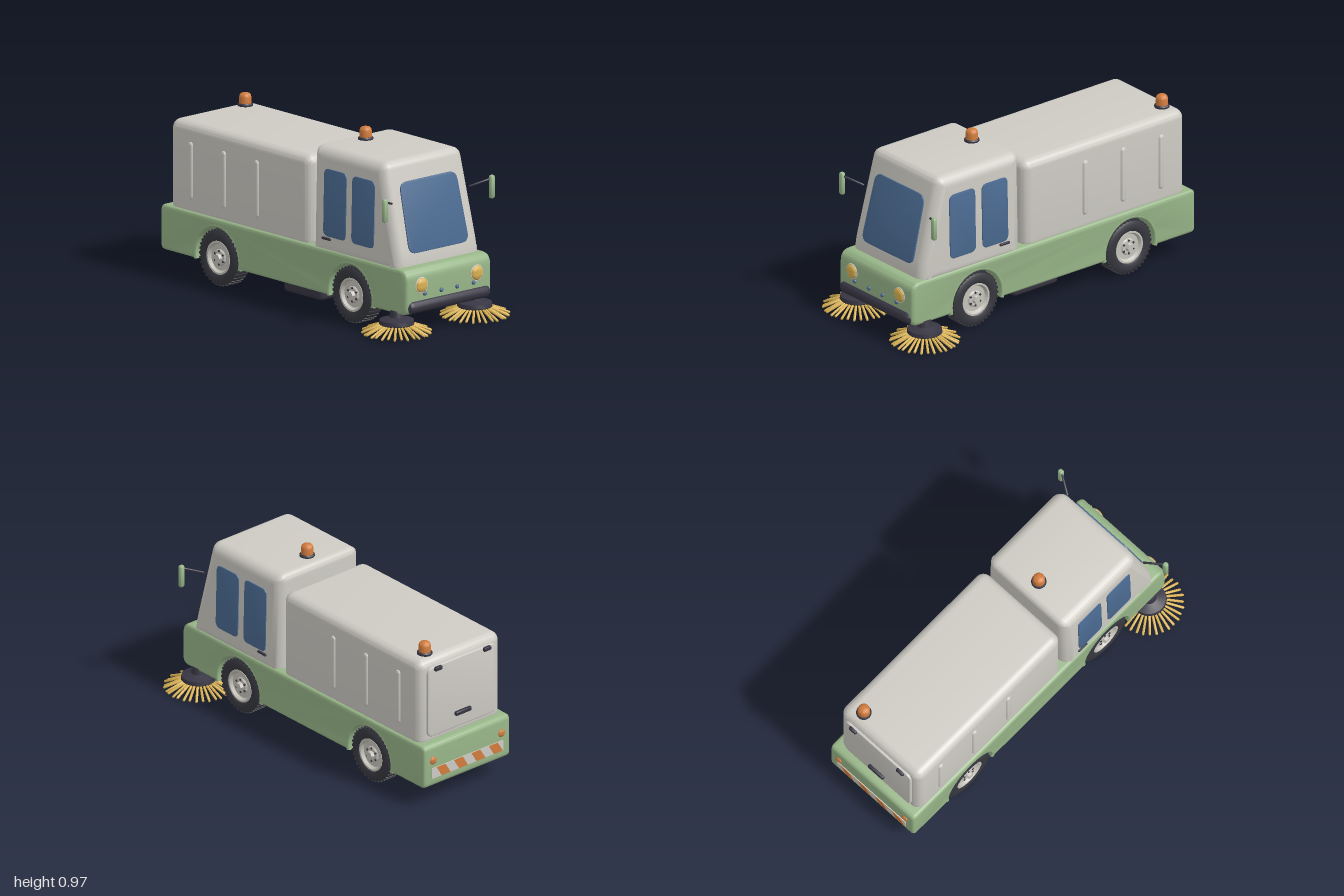
import * as THREE from 'three';
import { toCreasedNormals } from 'three/addons/utils/BufferGeometryUtils.js';
import { RoundedBoxGeometry } from 'three/addons/geometries/RoundedBoxGeometry.js';

const V = (x, y, z) => new THREE.Vector3(x, y, z);
const paint = (name, color) => {
  const m = new THREE.MeshStandardMaterial({ color });
  m.name = name;
  return m;
};

// Polygon with every corner rounded by r
function roundedPoly(pts, r) {
  const s = new THREE.Shape();
  const p = pts.map(([x, y]) => new THREE.Vector2(x, y));
  p.forEach((c, i) => {
    const prev = p[(i + p.length - 1) % p.length], next = p[(i + 1) % p.length];
    const a = c.clone().add(prev.clone().sub(c).setLength(r));
    const b = c.clone().add(next.clone().sub(c).setLength(r));
    if (i) s.lineTo(a.x, a.y); else s.moveTo(a.x, a.y);
    s.quadraticCurveTo(c.x, c.y, b.x, b.y);
  });
  s.closePath();
  return s;
}

// Extrusion centred on z = 0 whose bevel stays inside the outline
function slab(shape, depth, bevel = 0, segs = 4) {
  const g = new THREE.ExtrudeGeometry(shape, {
    depth: depth - 2 * bevel, bevelEnabled: bevel > 0, bevelSize: bevel, bevelThickness: bevel,
    bevelOffset: -bevel, bevelSegments: segs, curveSegments: 8,
  });
  return g.translate(0, 0, bevel - depth / 2);
}
// Same, for a profile drawn as (z, y) and extruded across x
const sideSlab = (...a) => slab(...a).rotateY(-Math.PI / 2);
const rect = (x0, x1, y0, y1) => [[x0, y0], [x1, y0], [x1, y1], [x0, y1]];
const lathe = (pts, n = 32) =>
  new THREE.LatheGeometry(pts.map(([x, y]) => new THREE.Vector2(x, y)), n);

function moveVerts(g, rule) {
  const p = g.attributes.position, v = V(0, 0, 0);
  for (let i = 0; i < p.count; i++) {
    rule(v.fromBufferAttribute(p, i));
    p.setXYZ(i, v.x, v.y, v.z);
  }
  return g;
}

export function createModel() {
  const green = paint('green paint', 0x98b689);
  const grey = paint('pale grey paint', 0xcecbc4);
  const dark = paint('dark plastic', 0x383643);
  const rubber = paint('tyre rubber', 0x37383f);
  const glass = paint('blue glass', 0x4b6b92);
  const yellow = paint('yellow', 0xdab253);
  const orange = paint('orange', 0xd27c3d);
  const rimPaint = paint('wheel rim', 0xc6c4bb);

  const root = new THREE.Group();
  root.name = 'streetSweeper';
  const add = (name, geo, mat, x = 0, y = 0, z = 0, parent = root, crease = 0.65) => {
    const m = new THREE.Mesh(toCreasedNormals(geo, crease), mat);
    m.name = name;
    m.position.set(x, y, z);
    parent.add(m);
    return m;
  };
  const rod = (name, a, b, r, mat, parent = root) => {
    const len = a.distanceTo(b);
    const m = add(name, new THREE.CapsuleGeometry(r, len - r, 2, 7), mat, 0, 0, 0, parent, 1.2);
    m.position.copy(a).lerp(b, 0.5);
    m.quaternion.setFromUnitVectors(V(0, 1, 0), b.clone().sub(a).normalize());
  };

  // Lower body with wheel arches
  const axles = [-0.555, 0.475], axleY = 0.148, archR = 0.165;
  const dip = Math.asin((axleY - 0.115) / archR);
  const s = new THREE.Shape();
  s.moveTo(-0.96, 0.115);
  for (const z of axles) {
    s.lineTo(z - archR * Math.cos(dip), 0.115);
    s.absarc(z, axleY, archR, Math.PI + dip, -dip, true);
  }
  s.lineTo(0.87, 0.115);
  s.quadraticCurveTo(0.915, 0.115, 0.915, 0.16);
  s.lineTo(0.915, 0.295);
  s.quadraticCurveTo(0.915, 0.358, 0.855, 0.358);
  s.lineTo(-0.96, 0.358);
  s.quadraticCurveTo(-0.99, 0.358, -0.99, 0.328);
  s.lineTo(-0.99, 0.145);
  s.quadraticCurveTo(-0.99, 0.115, -0.96, 0.115);
  add('lowerBody', sideSlab(s, 0.594, 0.018), green);

  // Cab, narrowing slightly towards the roof
  const taper = (y) => 1 - 0.08 * (y - 0.36);
  const cab = sideSlab(roundedPoly(
    [[0.17, 0.32], [0.848, 0.32], [0.838, 0.41], [0.716, 0.894], [0.17, 0.894]], 0.042), 0.584, 0.06, 6);
  // Soften the profile by keeping its roof and back corners inside the bevel
  add('cab', moveVerts(cab, (v) => { v.x *= taper(v.y); }), grey);

  // Windscreen
  const screen = slab(roundedPoly([[-0.208, -0.188], [0.208, -0.188], [0.197, 0.188], [-0.197, 0.188]], 0.05), 0.009, 0.003, 2);
  add('windscreen', screen.rotateX(-0.245), glass, 0, 0.602, 0.793);

  // Hopper with rear door
  add('hopper', new RoundedBoxGeometry(0.564, 0.505, 1.085, 5, 0.05), grey, 0, 0.5725, -0.395);
  add('rearDoor', slab(roundedPoly(rect(-0.235, 0.235, 0.38, 0.785), 0.04), 0.024, 0.008, 3), grey, 0, 0, -0.938);
  add('doorHandle', new RoundedBoxGeometry(0.11, 0.026, 0.022, 3, 0.01), dark, 0, 0.465, -0.957);

  // Underslung tank
  add('underTank', new RoundedBoxGeometry(0.4, 0.11, 0.295, 3, 0.018), dark, 0, 0.09, 0);

  // Front bumper and sensors
  const bumper = new THREE.CapsuleGeometry(0.033, 0.506, 6, 16).rotateZ(Math.PI / 2);
  add('bumper', bumper, dark, 0, 0.157, 0.904);
  for (const x of [-0.17, -0.055, 0.055, 0.17])
    add('sensor', new THREE.SphereGeometry(0.012, 12, 8), glass, x, 0.22, 0.915);

  // Warning beacons
  const beacon = (x, y, z) => {
    add('beaconBase', lathe([[0, 0], [0.04, 0], [0.04, 0.012], [0.035, 0.018], [0, 0.018]]), dark, x, y, z);
    add('beaconLens', lathe([[0.033, 0.016], [0.032, 0.05], [0.029, 0.062], [0.022, 0.069], [0, 0.073]]), orange, x, y, z);
  };
  beacon(0, 0.89, 0.27);
  beacon(0.18, 0.822, -0.86);

  // Rear hazard strip
  add('hazardStrip', slab(roundedPoly(rect(-0.245, 0.245, 0.165, 0.225), 0.004), 0.006), grey, 0, 0, -0.991);
  for (let i = 0; i < 4; i++) {
    const x = -0.24 + 0.12 * i;
    const stripe = roundedPoly([[x, 0.166], [x + 0.06, 0.166], [x + 0.095, 0.224], [x + 0.035, 0.224]], 0.001);
    add('hazardStripe', slab(stripe, 0.005), orange, 0, 0, -0.9935);
  }

  // Dark wheel wells between the wheels
  for (const z of axles) add('wheelWell', new THREE.BoxGeometry(0.4, 0.2, 0.332), dark, 0, 0.214, z);

  // Wheel, built facing +x
  const wheel = (side, z) => {
    const g = new THREE.Group();
    g.name = 'wheel';
    g.position.set(side * 0.24, axleY, z);
    g.rotation.y = side > 0 ? 0 : Math.PI;
    root.add(g);
    const spin = (geo) => geo.rotateZ(-Math.PI / 2);
    add('tyre', spin(lathe([[0.088, -0.05], [0.13, -0.05], [0.145, -0.042], [0.148, -0.025], [0.148, 0.025],
      [0.145, 0.04], [0.13, 0.05], [0.1, 0.05], [0.088, 0.042], [0.086, 0]], 40)), rubber, 0, 0, 0, g);
    add('rim', spin(lathe([[0, -0.045], [0.09, -0.045], [0.09, 0.046], [0.08, 0.046], [0.07, 0.03], [0.045, 0.03],
      [0.038, 0.038], [0, 0.038]], 32)), rimPaint, 0, 0, 0, g);
    add('hub', spin(new THREE.CylinderGeometry(0.02, 0.024, 0.022, 6)), rimPaint, 0.045, 0, 0, g);
    for (let i = 0; i < 6; i++) {
      const a = i * Math.PI / 3;
      add('wheelNut', spin(new THREE.CylinderGeometry(0.006, 0.006, 0.012, 6)), dark,
        0.036, 0.036 * Math.cos(a), 0.036 * Math.sin(a), g);
    }
    for (let i = 0; i < 36; i++) {
      const a = i * Math.PI / 18;
      const lug = add('treadLug', new THREE.BoxGeometry(0.084, 0.008, 0.013), rubber,
        0, 0.147 * Math.cos(a), 0.147 * Math.sin(a), g);
      lug.rotation.x = a;
    }
  };

  // Rotary side brush
  const brush = (side) => {
    const g = new THREE.Group();
    g.name = 'sideBrush';
    g.position.set(side * 0.273, 0, 0.812);
    root.add(g);
    add('brushHub', lathe([[0, 0.045], [0.078, 0.045], [0.093, 0.06], [0.089, 0.08], [0.06, 0.088],
      [0.04, 0.095], [0.032, 0.13], [0, 0.13]]), dark, 0, 0, 0, g);
    for (let i = 0; i < 32; i++) {
      const a = (i / 32) * Math.PI * 2, c = Math.cos(a), n = Math.sin(a);
      const r = i % 2 ? 0.183 : 0.178, y = i % 2 ? 0.016 : 0.009;
      rod('bristle', V(0.07 * c, 0.058, 0.07 * n), V(r * c, y, r * n), 0.007, yellow, g);
    }
    rod('brushArm', V(side * 0.2, 0.115, 0.64), V(side * 0.265, 0.108, 0.81), 0.016, dark);
  };

  for (const side of [-1, 1]) {
    for (const z of axles) {
      wheel(side, z);
      const lip = new THREE.TorusGeometry(0.174, 0.013, 10, 32, Math.PI + 2 * dip).rotateZ(-dip).rotateY(-Math.PI / 2);
      add('archLip', lip, green, side * 0.284, axleY, z);
    }
    brush(side);

    // Side windows follow the lean of the cab
    for (const [z0, z1] of [[0.265, 0.438], [0.482, 0.656]]) {
      const w = sideSlab(roundedPoly(rect(z0, z1, 0.428, 0.788), 0.035), 0.009, 0.003, 2);
      add('sideWindow', moveVerts(w, (v) => { v.x += side * 0.292 * taper(v.y); }), glass);
    }
    add('cabDoorHandle', new RoundedBoxGeometry(0.016, 0.014, 0.066, 2, 0.006), dark, side * 0.293, 0.415, 0.29);

    // Mirrors
    rod('mirrorArm', V(side * 0.27, 0.69, 0.772), V(side * 0.368, 0.726, 0.832), 0.006, dark);
    add('mirror', new RoundedBoxGeometry(0.03, 0.126, 0.028, 4, 0.012), green, side * 0.374, 0.682, 0.832);

    // Headlights
    add('headlight', new THREE.SphereGeometry(0.04, 24, 14).scale(1, 1, 0.5), yellow, side * 0.193, 0.268, 0.913);
    add('headlightRim', new THREE.TorusGeometry(0.04, 0.004, 8, 28), grey, side * 0.193, 0.268, 0.915);

    // Hopper ribs, door hinges and tail lights
    for (const z of [-0.26, -0.515, -0.77])
      add('hopperRib', new THREE.CapsuleGeometry(0.017, 0.275, 5, 12).scale(0.7, 1, 1), grey, side * 0.281, 0.573, z);
    add('doorHinge', new RoundedBoxGeometry(0.05, 0.024, 0.024, 3, 0.008), dark, side * 0.168, 0.77, -0.952);
    add('tailLight', new THREE.SphereGeometry(0.022, 18, 12).scale(1, 1, 0.45), orange, side * 0.235, 0.268, -0.99);
  }
  return root;
}
